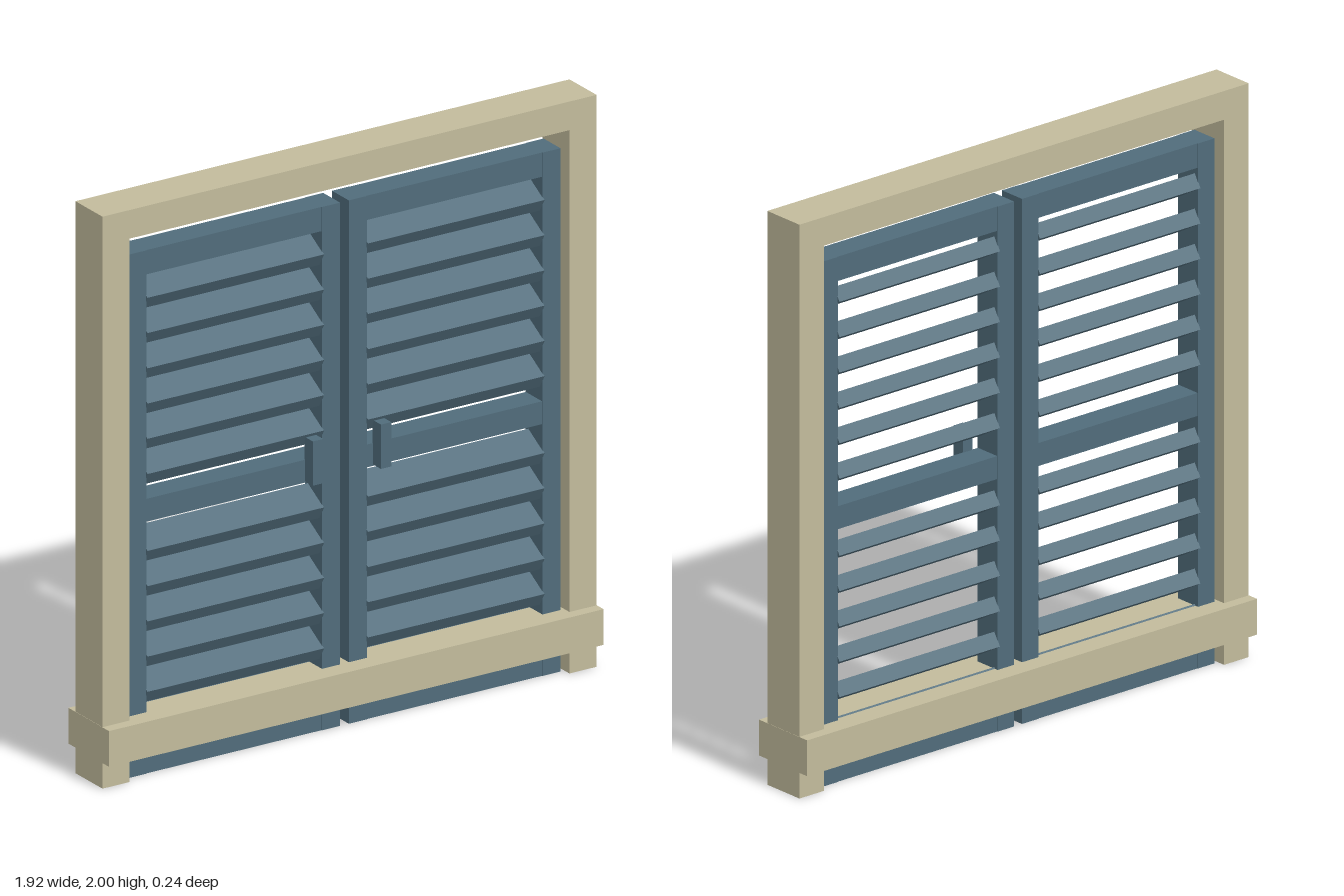
import * as THREE from 'three';

export function createModel() {
  const model = new THREE.Group();
  model.name = 'shutteredWindow';
  const stone = new THREE.MeshStandardMaterial({ color: 0xc2bb9c });
  stone.name = 'sandFrame';
  const paint = new THREE.MeshStandardMaterial({ color: 0x506c7b });
  paint.name = 'slateBluePaint';

  // Box given by its min and max along each axis
  function box(parent, name, material, [x0, x1], [y0, y1], [z0, z1]) {
    const mesh = new THREE.Mesh(new THREE.BoxGeometry(x1 - x0, y1 - y0, z1 - z0), material);
    mesh.position.set((x0 + x1) / 2, (y0 + y1) / 2, (z0 + z1) / 2);
    mesh.name = name;
    parent.add(mesh);
    return mesh;
  }

  // Surrounding frame
  const frame = new THREE.Group();
  frame.name = 'frame';
  model.add(frame);
  box(frame, 'rightPost', stone, [-0.957, -0.852], [0, 2], [-0.08, 0.08]);
  box(frame, 'leftPost', stone, [0.852, 0.957], [0, 2], [-0.08, 0.08]);
  box(frame, 'lintel', stone, [-0.852, 0.852], [1.9, 2], [-0.08, 0.08]);
  box(frame, 'sill', stone, [-0.958, 0.958], [0.09, 0.215], [-0.12, 0.12]);

  // One louvred shutter on each side
  const slatGeometry = new THREE.BoxGeometry(0.684, 0.052, 0.108);
  const pitch = 0.1232;
  for (const side of [-1, 1]) {
    const shutter = new THREE.Group();
    shutter.name = side < 0 ? 'rightShutter' : 'leftShutter';
    shutter.position.x = side * 0.427;
    model.add(shutter);

    // Stiles and rails
    box(shutter, 'stile', paint, [-0.41, -0.34], [0, 1.83], [-0.05, 0.05]);
    box(shutter, 'stile', paint, [0.34, 0.41], [0, 1.83], [-0.05, 0.05]);
    for (const [name, y0, y1] of [['bottomRail', 0, 0.09], ['middleRail', 0.88, 0.96], ['topRail', 1.745, 1.83]]) {
      box(shutter, name, paint, [-0.34, 0.34], [y0, y1], [-0.048, 0.048]);
    }

    // Slats slope down toward the front, six above and six below the middle rail
    for (const top of [1.672, 0.787]) {
      for (let i = 0; i < 6; i++) {
        const slat = new THREE.Mesh(slatGeometry, paint);
        slat.name = 'slat';
        slat.position.y = top - i * pitch;
        slat.rotation.x = Math.PI / 6;
        shutter.add(slat);
      }
    }

    // Pull handle near the meeting stile
    const hx = -side * 0.295;
    box(shutter, 'handle', paint, [hx - 0.02, hx + 0.02], [0.885, 1.04], [0.046, 0.095]);
  }
  return model;
}
